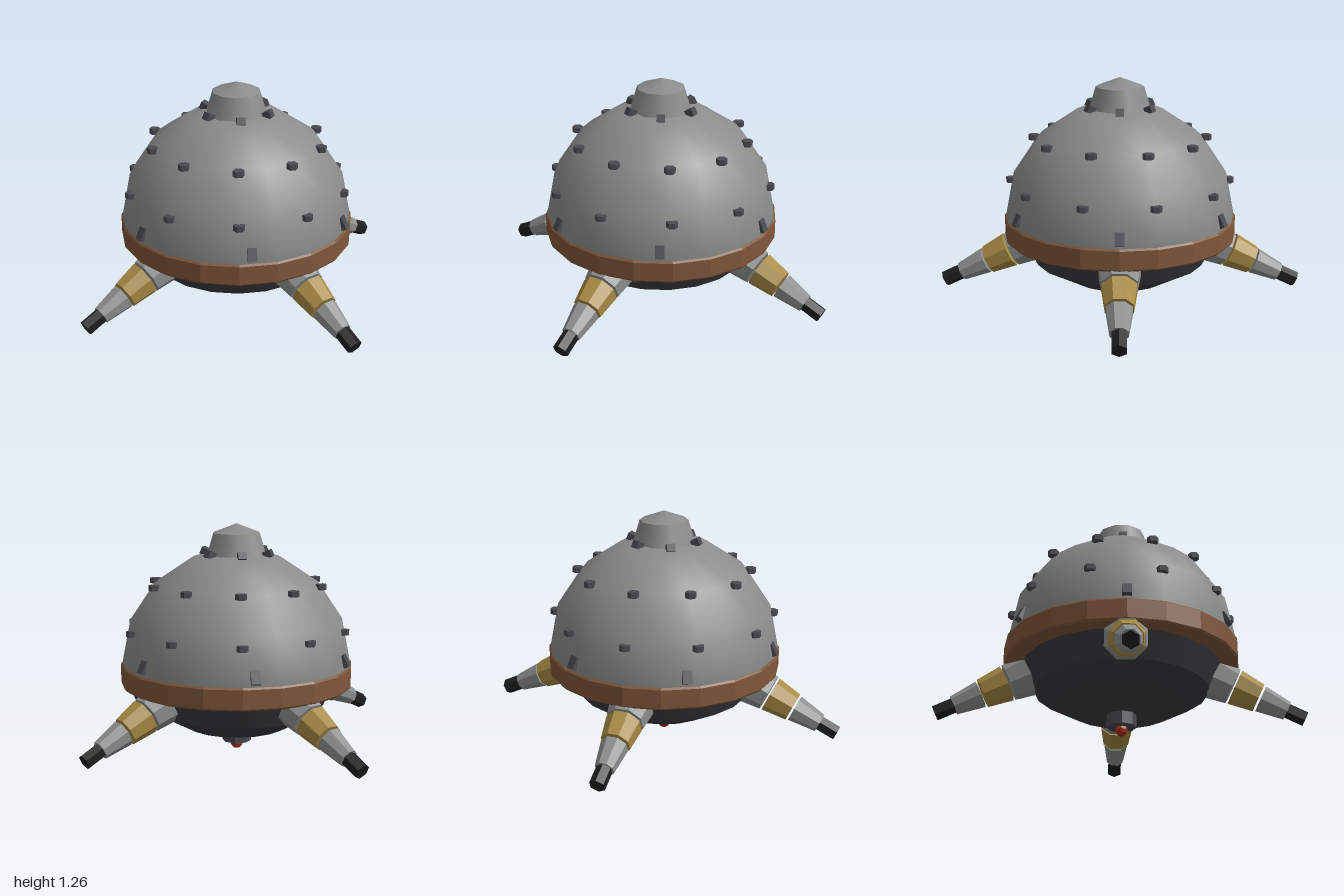
import * as THREE from 'three';

const mat = (name, color, flat = false) => {
  const m = new THREE.MeshStandardMaterial({ color, flatShading: flat });
  m.name = name;
  return m;
};

export function createModel() {
  const root = new THREE.Group();
  root.name = 'domedPod';
  const shell = mat('shell grey', 0x8a8d8b);
  const legGrey = mat('leg grey', 0x8e9090, true);
  const brown = mat('rim brown', 0x80573a, true);
  const gold = mat('leg gold', 0xa88b45, true);
  const dark = mat('belly charcoal', 0x3b3b3e);
  const studGrey = mat('stud grey', 0x4a4b50, true);
  const black = mat('foot black', 0x1e1e1f, true);
  const red = mat('lamp red', 0xa8301f, true);

  const add = (parent, name, geo, material, x = 0, y = 0, z = 0) => {
    const m = new THREE.Mesh(geo, material);
    m.name = name;
    m.position.set(x, y, z);
    parent.add(m);
    return m;
  };
  // Profiles run from bottom to top so that faces point outwards
  const lathe = (name, pts, sides, material) =>
    add(root, name, new THREE.LatheGeometry(pts.map(p => new THREE.Vector2(...p)), sides), material);

  // Upper dome: hemisphere of four rings
  add(root, 'dome', new THREE.SphereGeometry(0.63, 20, 4, 0, Math.PI * 2, 0, Math.PI / 2), shell, 0, 0.5, 0);

  // Hatch on top: tapered neck and shallow cone lid
  lathe('hatchNeck', [[0.175, 1.07], [0.165, 1.1], [0.13, 1.215]], 10, shell);
  lathe('hatchLid', [[0.13, 1.215], [0, 1.265]], 10, shell);

  // Rim belt with small bevels
  lathe('rim', [[0.52, 0.385], [0.63, 0.385], [0.638, 0.395], [0.638, 0.495], [0.63, 0.505], [0.58, 0.505]], 20, brown);

  // Belly: upper band and rounded bottom
  lathe('bellyBand', [[0.47, 0.25], [0.54, 0.39]], 20, dark);
  lathe('bellyBottom', [[0, 0.11], [0.28, 0.145], [0.47, 0.25]], 20, dark);

  // Lamp under the belly
  add(root, 'lampSocket', new THREE.CylinderGeometry(0.08, 0.08, 0.09, 8), studGrey, 0, 0.097, 0);
  add(root, 'lamp', new THREE.SphereGeometry(0.034, 8, 6), red, 0, 0.038, 0);

  // Two rings of hexagonal studs
  const studGeo = new THREE.CylinderGeometry(0.03, 0.03, 0.03, 6);
  for (const [r, y] of [[0.468, 0.937], [0.595, 0.697]]) {
    for (let i = 0; i < 10; i++) {
      const a = i * Math.PI / 5;
      add(root, 'stud', studGeo, studGrey, r * Math.sin(a), y, r * Math.cos(a));
    }
  }

  // Tilted blocks above the rim and around the hatch
  const blocks = [
    { name: 'rimBlock', size: [0.048, 0.07, 0.04], r: 0.612, y: 0.55, tilt: -0.45 },
    { name: 'hatchBlock', size: [0.045, 0.04, 0.045], r: 0.182, y: 1.105, tilt: -0.45 },
  ];
  for (const b of blocks) {
    const geo = new THREE.BoxGeometry(...b.size);
    for (let i = 0; i < 6; i++) {
      const a = Math.PI / 6 + i * Math.PI / 3;
      const m = add(root, b.name, geo, studGrey, b.r * Math.sin(a), b.y, b.r * Math.cos(a));
      m.rotation.set(b.tilt, a, 0, 'YXZ');
    }
  }

  // Four tapered legs; each section: name, start, end, radii, sides, material
  const sections = [
    ['legBase', -0.31, -0.156, 0.125, 0.1, 8, legGrey],
    ['legSleeve', -0.144, -0.006, 0.098, 0.079, 8, gold],
    ['legShaft', 0.006, 0.16, 0.073, 0.051, 8, legGrey],
    ['foot', 0.16, 0.265, 0.043, 0.043, 6, black],
  ];
  for (let i = 0; i < 4; i++) {
    const turn = new THREE.Group();
    turn.name = 'leg';
    turn.rotation.y = i * Math.PI / 2;
    const axis = new THREE.Group();
    axis.name = 'legAxis';
    axis.position.set(0, 0.23, 0.745);
    axis.rotation.x = Math.PI / 2 + THREE.MathUtils.degToRad(25.5);
    turn.add(axis);
    for (const [name, s0, s1, r0, r1, sides, material] of sections) {
      const geo = new THREE.CylinderGeometry(r1, r0, s1 - s0, sides);
      if (sides === 8) geo.rotateY(Math.PI / 8);
      add(axis, name, geo, material, 0, (s0 + s1) / 2, 0);
    }
    root.add(turn);
  }
  return root;
}
